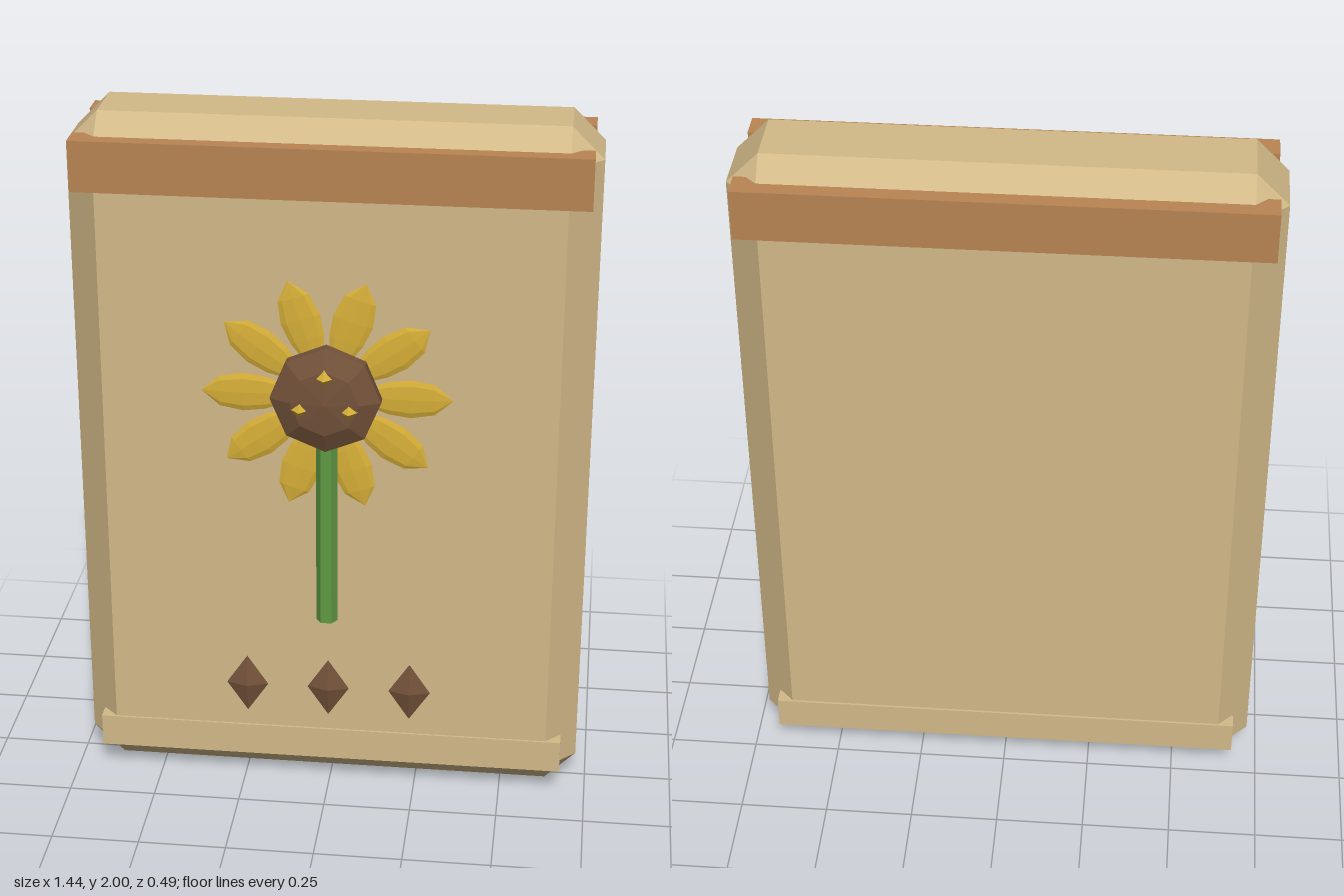
import * as THREE from 'three';
import { ConvexGeometry } from 'three/addons/geometries/ConvexGeometry.js';

const flat = (name, color) => {
  const m = new THREE.MeshStandardMaterial({ color, flatShading: true });
  m.name = name;
  return m;
};

export function createModel() {
  const model = new THREE.Group();
  model.name = 'sunflowerSeedPacket';
  const paper = flat('tan paper', 0xd2b988);
  const trim = flat('terracotta trim', 0xb98454);
  const gold = flat('petal gold', 0xd8b038);
  const brown = flat('seed brown', 0x73523a);
  const green = flat('stem green', 0x5f9a44);

  const add = (parent, name, geometry, material, x = 0, y = 0, z = 0) => {
    const mesh = new THREE.Mesh(geometry, material);
    mesh.name = name;
    mesh.position.set(x, y, z);
    parent.add(mesh);
    return mesh;
  };

  // Packet body: a box with every edge chamfered
  const half = [0.72, 1, 0.174], bevel = 0.088, corners = [];
  for (const sx of [-1, 1]) for (const sy of [-1, 1]) for (const sz of [-1, 1]) {
    for (let axis = 0; axis < 3; axis++) {
      const p = half.map((h, i) => (i === axis ? h : h - bevel));
      corners.push(new THREE.Vector3(p[0] * sx, p[1] * sy, p[2] * sz));
    }
  }
  const middle = -0.059;
  add(model, 'packetBody', new ConvexGeometry(corners), paper, 0, 1, middle);

  // Top bands and bottom folds on the front and back
  for (const [side, s] of [['front', 1], ['back', -1]]) {
    add(model, side + 'TopBand', new THREE.BoxGeometry(1.39, 0.142, 0.075), trim, 0, 1.873, middle + s * 0.149);
    add(model, side + 'BottomFold', new THREE.BoxGeometry(1.35, 0.097, 0.045), paper, 0, 0.128, middle + s * 0.158);
  }

  // Flower head
  const flower = new THREE.Group();
  flower.name = 'flower';
  flower.position.set(0, 1.26, 0);
  model.add(flower);

  // Ten thin petals around the centre
  const profile = [[0, 0.08], [0.03, 0.12], [0.048, 0.17], [0.056, 0.23], [0.044, 0.295], [0, 0.345]]
    .map(([r, y]) => new THREE.Vector2(r, y));
  const petalGeometry = new THREE.LatheGeometry(profile, 8).scale(1, 1, 0.14);
  for (let i = 0; i < 10; i++) {
    const petal = add(flower, 'petal' + (i + 1), petalGeometry, gold, 0, 0, 0.16);
    petal.rotation.z = i * Math.PI / 5 - Math.PI / 2;
  }

  // Faceted flower centre with three small seeds
  const disc = new THREE.SphereGeometry(0.16, 8, 5).rotateX(Math.PI / 2).scale(1, 1, 0.32);
  add(flower, 'flowerCentre', disc, brown, 0, 0, 0.182);
  for (const [x, y] of [[0, 0.075], [-0.067, -0.02], [0.067, -0.02]]) {
    add(flower, 'flowerSeed', new THREE.OctahedronGeometry(0.027), gold, x, y, 0.219);
  }

  // Six-sided stem
  const stem = new THREE.CylinderGeometry(0.03, 0.03, 0.575, 6).rotateY(Math.PI / 6).scale(1, 1, 0.85);
  add(model, 'stem', stem, green, 0, 0.855, 0.165);

  // Row of diamond seeds
  for (const x of [-0.235, 0, 0.235]) {
    add(model, 'seed', new THREE.OctahedronGeometry(1).scale(0.06, 0.09, 0.02), brown, x, 0.328, 0.137);
  }

  return model;
}
